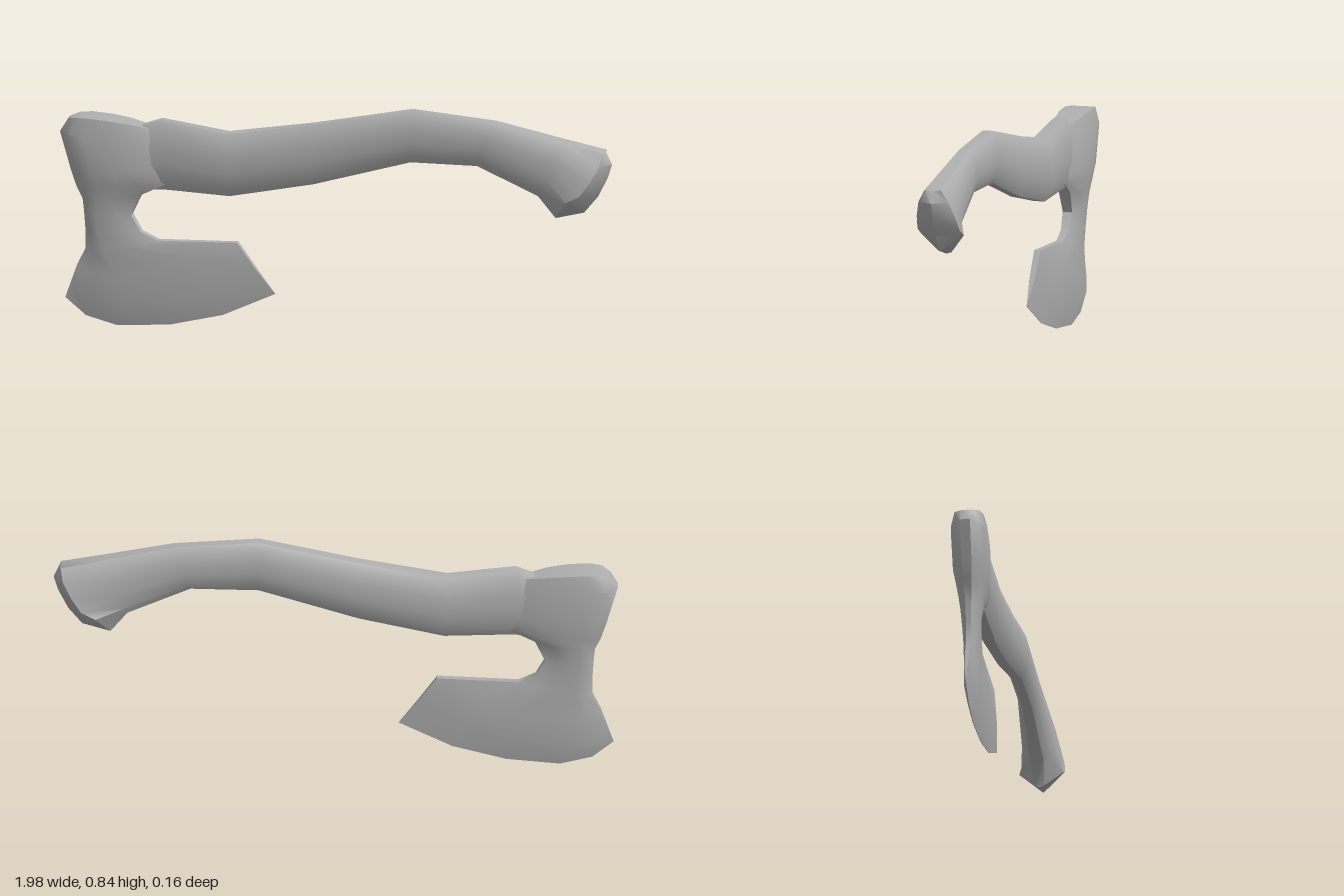
import * as THREE from 'three';
import { toCreasedNormals } from 'three/addons/utils/BufferGeometryUtils.js';

// Skin a row of half sections ([x, y, halfThickness] points, mirrored in z) into a closed solid
function loft(sections, crease) {
  const half = sections[0].length, n = half * 2;
  const pos = [], idx = [];
  for (const s of sections) {
    for (const [x, y, z] of s) pos.push(x, y, z);
    for (const [x, y, z] of [...s].reverse()) pos.push(x, y, -z);
  }
  const quad = (a, b, c, d) => idx.push(a, b, c, a, c, d);
  for (let r = 0; r < sections.length - 1; r++) {
    for (let i = 0; i < n; i++) {
      const j = (i + 1) % n;
      quad(r * n + i, r * n + j, (r + 1) * n + j, (r + 1) * n + i);
    }
  }
  // End caps, joined straight across from front to back
  const last = (sections.length - 1) * n;
  for (let i = 0; i < half - 1; i++) {
    quad(n - 1 - i, n - 2 - i, i + 1, i);
    quad(last + i, last + i + 1, last + n - 2 - i, last + n - 1 - i);
  }
  // Turn the faces outwards if the enclosed volume comes out negative
  const v = i => new THREE.Vector3().fromArray(pos, i * 3);
  let volume = 0;
  for (let i = 0; i < idx.length; i += 3) volume += v(idx[i]).dot(v(idx[i + 1]).cross(v(idx[i + 2])));
  if (volume < 0) idx.reverse();
  const g = new THREE.BufferGeometry();
  g.setAttribute('position', new THREE.Float32BufferAttribute(pos, 3));
  g.setIndex(idx);
  return toCreasedNormals(g, crease);
}

export function createModel() {
  const grey = new THREE.MeshStandardMaterial({ color: 0xb0b0b0 });
  grey.name = 'plain grey';
  const group = new THREE.Group();
  group.name = 'axe';
  const add = (name, geometry) => {
    const mesh = new THREE.Mesh(geometry, grey);
    mesh.name = name;
    group.add(mesh);
  };

  // Handle: top x, y, bottom x, y, half thickness
  const across = [0, 0.1, 0.32, 0.62, 0.88, 1];
  const round = [0.45, 0.75, 1, 1, 0.72, 0.4];
  const handle = [
    [-0.76, 0.72, -0.76, 0.52, 0.035],
    [-0.69, 0.735, -0.68, 0.505, 0.036],
    [-0.62, 0.76, -0.61, 0.51, 0.041],
    [-0.38, 0.725, -0.37, 0.5, 0.049],
    [-0.07, 0.775, -0.07, 0.56, 0.045],
    [0.28, 0.845, 0.28, 0.66, 0.041],
    [0.58, 0.82, 0.52, 0.66, 0.039],
    [0.83, 0.765, 0.74, 0.565, 0.058],
  ].map(([tx, ty, bx, by, t]) => across.map((v, i) => [tx + (bx - tx) * v, ty + (by - ty) * v, t * round[i]]));
  // Flared knob with a ridged end
  handle.push([[0.975, 0.735, 0.03], [0.965, 0.69, 0.055], [0.935, 0.635, 0.07],
    [0.9, 0.585, 0.077], [0.85, 0.56, 0.078], [0.8, 0.49, 0.018]]);
  handle.push([[0.98, 0.73, 0.002], [1, 0.69, 0.002], [0.985, 0.64, 0.002],
    [0.95, 0.57, 0.002], [0.9, 0.51, 0.002], [0.8, 0.485, 0.002]]);
  add('handle', loft(handle, 0.7));

  // Head from poll to cutting edge: left x, y, right x, y, sag, half thickness
  const along = [0, 0.1, 0.25, 0.5, 0.75, 1];
  const sagging = [0, 0.64, 1, 1, 0.7, 0];
  const cheek = [0.3, 0.85, 1, 1, 0.85, 0.5];
  const head = [
    [-0.95, 0.75, -0.66, 0.73, 0.015, 0.053],
    [-0.98, 0.7, -0.63, 0.68, 0, 0.062],
    [-0.94, 0.56, -0.61, 0.58, 0, 0.06],
    [-0.92, 0.5, -0.6, 0.53, 0, 0.05],
    [-0.9, 0.46, -0.69, 0.485, 0, 0.042],
    [-0.895, 0.41, -0.725, 0.41, 0, 0.034],
    [-0.89, 0.34, -0.69, 0.35, 0, 0.029],
    [-0.89, 0.28, -0.63, 0.322, -0.01, 0.026],
    [-0.92, 0.22, -0.345, 0.33, -0.06, 0.023],
    [-0.945, 0.15, -0.28, 0.24, -0.09, 0.02],
    [-0.965, 0.095, -0.21, 0.15, -0.105, 0.001],
  ].map(([lx, ly, rx, ry, sag, t]) => along.map((u, i) =>
    [lx + (rx - lx) * u, ly + (ry - ly) * u + sag * sagging[i], t * cheek[i]]));
  add('axeHead', loft(head, 0.7));

  return group;
}
